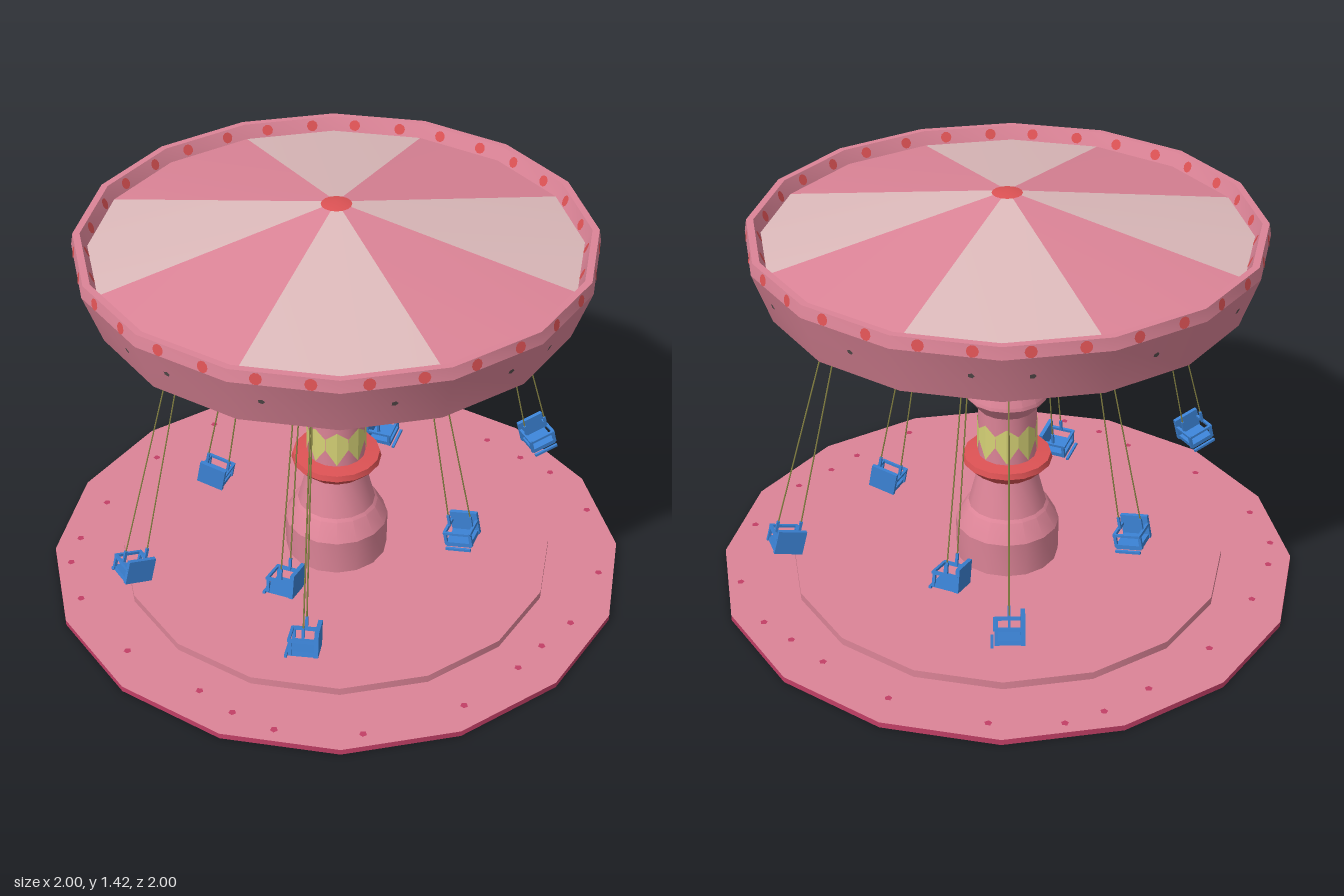
import * as THREE from 'three';
import { toCreasedNormals } from 'three/addons/utils/BufferGeometryUtils.js';

const SIDES = 16;
const STEP = (Math.PI * 2) / SIDES;

function material(name, color, twoSided = false) {
  const m = new THREE.MeshStandardMaterial({ color });
  m.name = name;
  if (twoSided) m.side = THREE.DoubleSide;
  return m;
}

export function createModel() {
  const pink = material('pink', 0xdc8497);
  const cream = material('pale pink', 0xdcb9ba);
  const red = material('red', 0xdc5254);
  const crimson = material('crimson', 0xc23f66);
  const blue = material('blue', 0x3b82d4);
  const rope = material('olive', 0x8c8846);
  const yellow = material('yellow', 0xd6d276, true);
  const dark = material('dark grey', 0x5c5252);

  const model = new THREE.Group();
  model.name = 'swingCarousel';

  function add(parent, name, geometry, mat, x = 0, y = 0, z = 0) {
    const mesh = new THREE.Mesh(geometry, mat);
    mesh.name = name;
    mesh.position.set(x, y, z);
    parent.add(mesh);
    return mesh;
  }

  // Turned shape from [radius, height] pairs, smooth around and sharp at its rings
  function turned(name, points, mat, segments = SIDES, start = 0, sweep = Math.PI * 2) {
    const profile = points.map(([r, y]) => new THREE.Vector2(r, y));
    const geometry = new THREE.LatheGeometry(profile, segments, start, sweep);
    geometry.deleteAttribute('normal');
    return add(model, name, toCreasedNormals(geometry, 0.42), mat);
  }

  // Flat spot lying on one facet of a sixteen-sided wall
  function facetSpot(name, facet, offset, radius, y, tilt, geometry, mat) {
    const pivot = new THREE.Group();
    pivot.name = name + 'Pivot';
    pivot.rotation.y = (facet + 0.5) * STEP;
    model.add(pivot);
    const apothem = radius * Math.cos(STEP / 2);
    add(pivot, name, geometry, mat, offset, y, apothem).rotation.x = tilt;
  }

  // Platform
  add(model, 'platform', new THREE.CylinderGeometry(1, 1, 0.02, SIDES), [crimson, pink, dark], 0, 0.01, 0);
  add(model, 'platformStep', new THREE.CylinderGeometry(0.755, 0.755, 0.028, SIDES), pink, 0, 0.033, 0);

  // Column
  turned('columnBase', [[0.178, 0.04], [0.18, 0.175], [0.145, 0.24], [0.135, 0.25], [0.102, 0.38]], pink);
  turned('columnRing', [[0.102, 0.375], [0.115, 0.385], [0.155, 0.425], [0.15, 0.445], [0.1, 0.45]], red);
  turned('columnShaft', [[0.1, 0.44], [0.1, 0.63], [0.14, 0.68], [0.138, 0.692], [0.105, 0.775],
    [0.108, 0.785], [0.118, 0.88], [0.118, 0.9]], pink);
  turned('columnCapital', [[0.115, 0.89], [0.135, 0.895], [0.14, 0.92], [0.165, 0.935],
    [0.17, 0.96], [0.19, 0.975], [0.192, 1.01]], red);

  // Yellow lozenges wrapped around the shaft, each over two facets
  const lozenge = [];
  const onShaft = (a, y) => [Math.sin(a) * 0.103, y, Math.cos(a) * 0.103];
  for (let k = 0; k < 8; k++) {
    const a = (2 * k + 1) * STEP;
    for (const s of [-1, 1]) {
      const top = onShaft(a, 0.59), bottom = onShaft(a, 0.455);
      const high = onShaft(a + s * STEP * 0.98, 0.56), low = onShaft(a + s * STEP * 0.98, 0.515);
      const corners = s > 0 ? [bottom, low, high, bottom, high, top] : [bottom, high, low, bottom, top, high];
      lozenge.push(...corners.flat());
    }
  }
  const lozengeGeometry = new THREE.BufferGeometry();
  lozengeGeometry.setAttribute('position', new THREE.Float32BufferAttribute(lozenge, 3));
  lozengeGeometry.computeVertexNormals();
  add(model, 'shaftLozenges', lozengeGeometry, yellow);

  // Canopy shell with raised rim
  turned('canopy', [[0, 0.995], [0.19, 1.0], [0.785, 1.1], [0.845, 1.27], [0.838, 1.31],
    [0.815, 1.31], [0.79, 1.255]], pink);

  // Striped roof
  for (let k = 0; k < 8; k++) {
    turned('roofPanel', [[0.8, 1.263], [0.001, 1.419]], k % 2 ? pink : cream, 2, k * Math.PI / 4, Math.PI / 4);
  }
  turned('roofCap', [[0.05, 1.411], [0.001, 1.421]], red);

  // Lamps on the rim and small marks on the canopy wall
  const lamp = new THREE.CircleGeometry(0.019, 10);
  const mark = new THREE.CircleGeometry(0.011, 5);
  for (let i = 0; i < SIDES; i++) {
    for (const s of [-1, 1]) {
      facetSpot('outerLamp', i, s * 0.08, 0.8445, 1.29, -0.17, lamp, red);
      facetSpot('innerLamp', i, s * 0.08, 0.802, 1.287, -2.71, lamp, red);
    }
    facetSpot('canopyMark', i, (i % 3 - 1) * 0.07, 0.8215, 1.197, 0.34, mark, dark);
  }

  // Scattered petals on the platform edge
  const petal = new THREE.CircleGeometry(0.013, 5);
  for (let i = 0; i < 24; i++) {
    const a = i * 0.262 + 0.1 * Math.sin(i * 5);
    const r = 0.9 + 0.04 * Math.sin(i * 7.3);
    add(model, 'petal', petal, crimson, Math.sin(a) * r, 0.0225, Math.cos(a) * r).rotation.x = -Math.PI / 2;
  }

  // Hanging chair: faces local -x, swings out along local +z
  function chair(angle, radius, top, swing) {
    const arm = new THREE.Group();
    arm.name = 'swing';
    arm.rotation.y = angle;
    model.add(arm);
    const hang = new THREE.Group();
    hang.name = 'hangingChair';
    hang.position.set(0, top, radius);
    hang.rotation.x = -swing;
    arm.add(hang);

    const length = 0.8;
    const box = (name, w, h, d, x, y, z) =>
      add(hang, name, new THREE.BoxGeometry(w, h, d), blue, x, y - length, z);
    box('seat', 0.09, 0.016, 0.09, 0, -0.033, 0);
    box('seatBack', 0.014, 0.085, 0.098, 0.043, 0.002, 0);
    box('safetyBar', 0.009, 0.009, 0.098, -0.045, 0.012, 0);
    box('footBar', 0.009, 0.009, 0.09, -0.054, -0.045, 0);
    for (const s of [-1, 1]) {
      box('armRest', 0.09, 0.01, 0.01, 0, 0.012, s * 0.045);
      box('armPost', 0.01, 0.05, 0.01, -0.04, -0.012, s * 0.045);
      box('hanger', 0.009, 0.045, 0.009, 0, 0.034, s * 0.04);
      const path = new THREE.LineCurve3(
        new THREE.Vector3(0, 0.02, s * 0.018),
        new THREE.Vector3(0, 0.05 - length, s * 0.04));
      add(hang, 'rope', new THREE.TubeGeometry(path, 1, 0.0026, 4), rope);
    }
  }

  // Inner ring, then outer ring
  for (let k = 0; k < 4; k++) chair(k * Math.PI / 2, 0.31, 1.02, 0.19);
  for (const degrees of [14.5, 135, 204, -36]) {
    chair(THREE.MathUtils.degToRad(degrees), 0.585, 1.065, 0.26);
  }

  return model;
}
